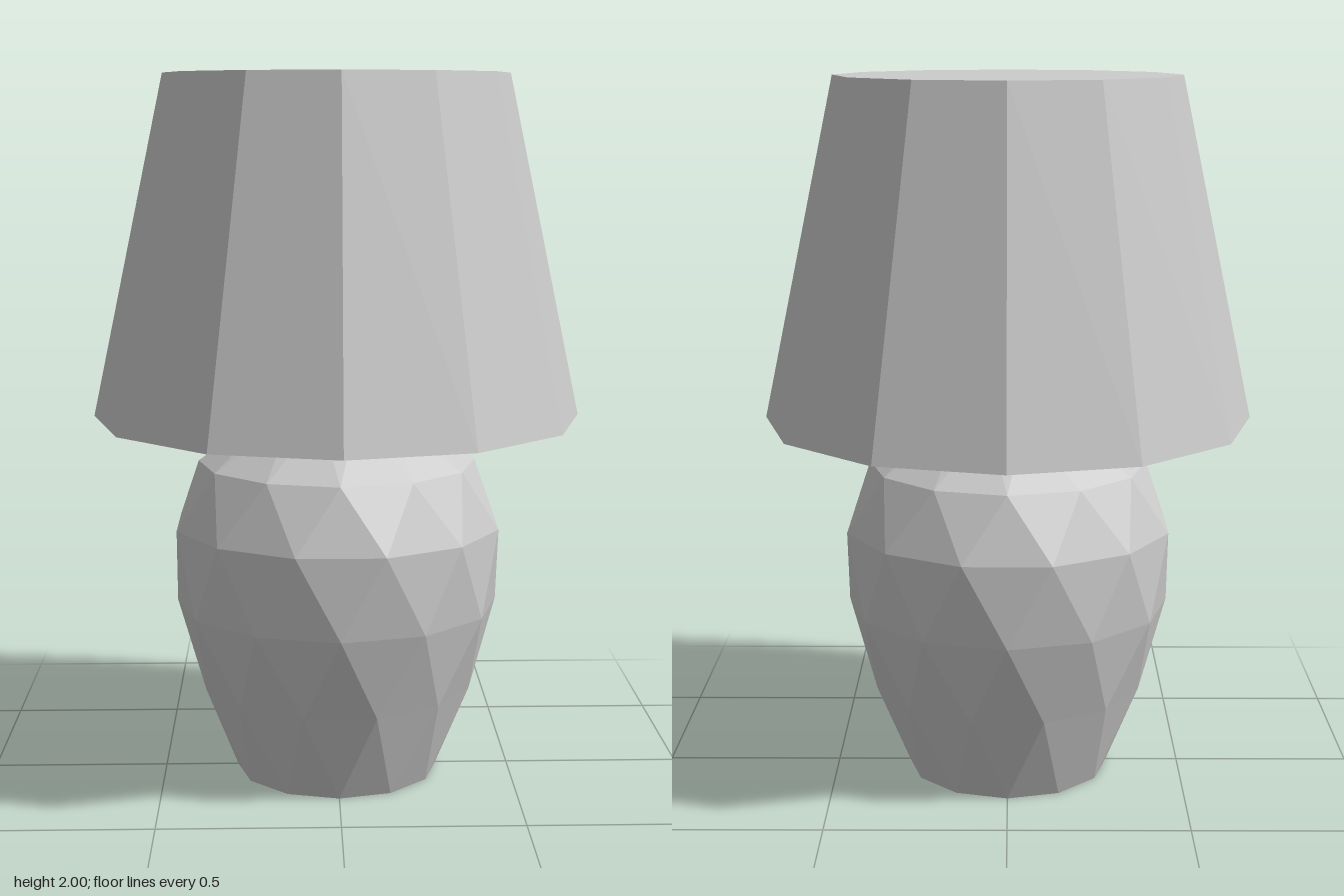
import * as THREE from 'three';

const SIDES = 12;

// Faceted body: each ring [radius, y] is turned half a step from the one below
function facetedGeometry(rings) {
  const point = (i, j) => {
    const [r, y] = rings[i];
    const a = ((j + (i % 2) / 2) / SIDES) * Math.PI * 2;
    return [r * Math.cos(a), y, r * Math.sin(a)];
  };
  const pos = [];
  for (let i = 0; i < rings.length - 1; i++) {
    const o = i % 2;
    for (let j = 0; j < SIDES; j++) {
      pos.push(...point(i, j), ...point(i + 1, j + o), ...point(i, j + 1));
      pos.push(...point(i, j + 1), ...point(i + 1, j + o), ...point(i + 1, j + 1 + o));
    }
  }
  // End caps
  const last = rings.length - 1;
  for (let j = 0; j < SIDES; j++) {
    pos.push(0, rings[0][1], 0, ...point(0, j), ...point(0, j + 1));
    pos.push(0, rings[last][1], 0, ...point(last, j + 1), ...point(last, j));
  }
  const geometry = new THREE.BufferGeometry();
  geometry.setAttribute('position', new THREE.Float32BufferAttribute(pos, 3));
  geometry.computeVertexNormals();
  return geometry;
}

export function createModel() {
  const group = new THREE.Group();
  group.name = 'tableLamp';
  const material = new THREE.MeshStandardMaterial({ color: 0xcccccc, flatShading: true });

  const add = (name, geometry) => {
    const mesh = new THREE.Mesh(geometry, material);
    mesh.name = name;
    group.add(mesh);
  };

  // Vase-shaped base narrowing into the neck under the shade
  add('base', facetedGeometry([
    [0.29, 0], [0.39, 0.26], [0.46, 0.5], [0.47, 0.73], [0.395, 0.91],
    [0.185, 1.06], [0.13, 1.28], [0.14, 1.5],
  ]));

  // Hollow shade with a thick rim and a closed top
  const profile = [
    [0, 1.94], [0.425, 1.94], [0.62, 1.04], [0.69, 1.04], [0.483, 2], [0, 2],
  ].map(([r, y]) => new THREE.Vector2(r, y));
  add('shade', new THREE.LatheGeometry(profile, SIDES));

  return group;
}
